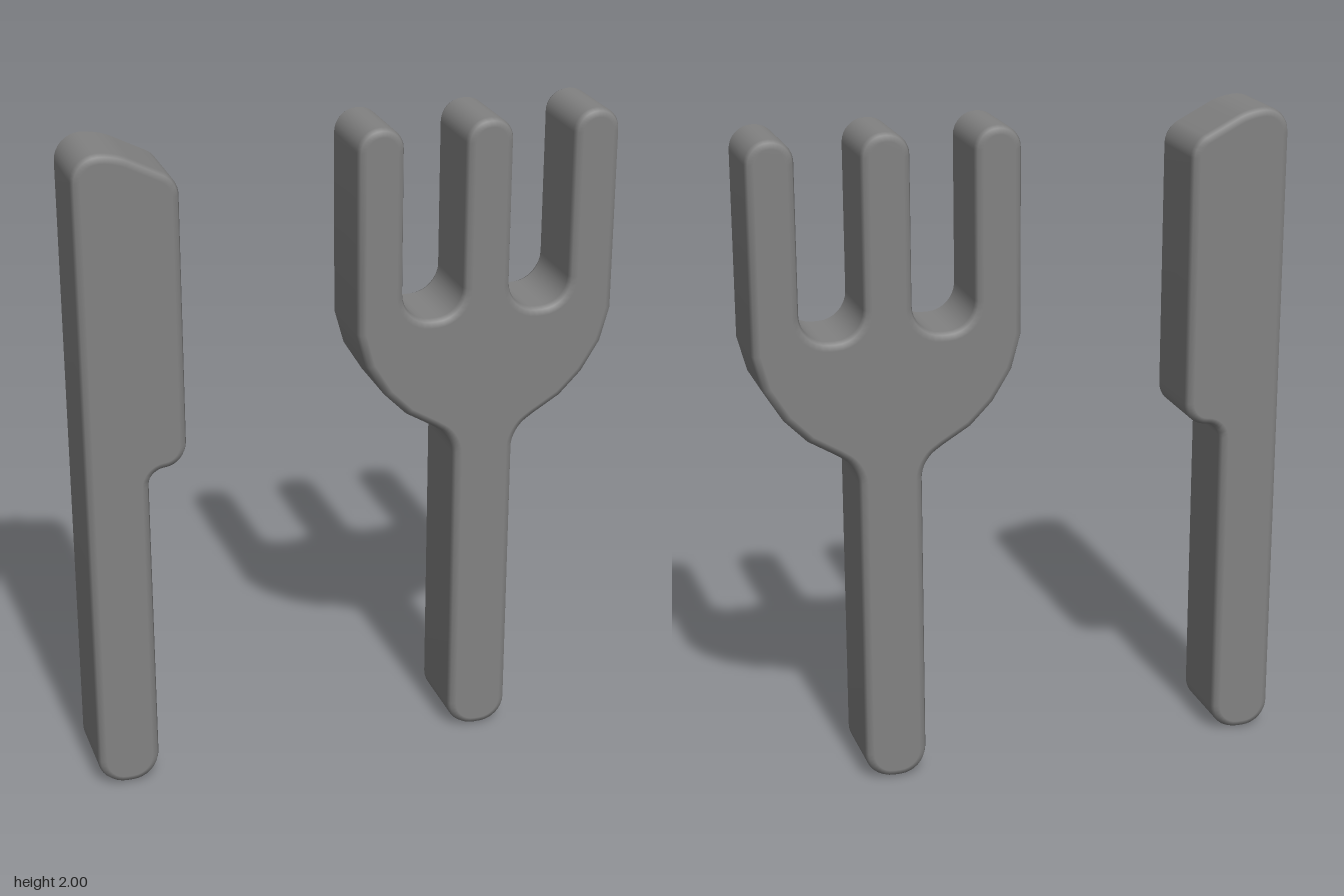
import * as THREE from 'three';
import { toCreasedNormals } from 'three/addons/utils/BufferGeometryUtils.js';

const BEVEL = 0.024;
const DEPTH = 0.26;

// Closed outline from corners [x, y, cut]; each corner is rounded, starting `cut` before it.
function roundedShape(corners) {
  const shape = new THREE.Shape();
  const n = corners.length;
  const P = corners.map(([x, y]) => new THREE.Vector2(x, y));
  const toward = (a, b, d) => a.clone().add(b.clone().sub(a).setLength(d));
  for (let i = 0; i < n; i++) {
    const p = P[i], cut = corners[i][2] || 0;
    const a = cut ? toward(p, P[(i + n - 1) % n], cut) : p;
    if (i === 0) shape.moveTo(a.x, a.y);
    else shape.lineTo(a.x, a.y);
    if (!cut) continue;
    const b = toward(p, P[(i + 1) % n], cut);
    const c1 = a.clone().lerp(p, 0.55), c2 = b.clone().lerp(p, 0.55);
    shape.bezierCurveTo(c1.x, c1.y, c2.x, c2.y, b.x, b.y);
  }
  return shape;
}

// Keep the faces and side walls evenly shaded, so only the softened edge blends between them
function flattenFaces(geometry) {
  const { position, normal } = geometry.attributes;
  const v = new THREE.Vector3();
  for (let i = 0; i < position.count; i++) {
    const z = position.getZ(i), inset = DEPTH / 2 - Math.abs(z);
    v.fromBufferAttribute(normal, i);
    if (inset < 1e-4) v.set(0, 0, Math.sign(z));
    else if (inset > BEVEL - 1e-4) v.setZ(0).normalize();
    normal.setXYZ(i, v.x, v.y, v.z);
  }
  return geometry;
}

// Thick slab with softened edges, kept inside the outline
function slab(name, corners) {
  const geometry = new THREE.ExtrudeGeometry(roundedShape(corners), {
    depth: DEPTH - 2 * BEVEL, curveSegments: 8,
    bevelEnabled: true, bevelThickness: BEVEL, bevelSize: BEVEL, bevelOffset: -BEVEL, bevelSegments: 2,
  });
  geometry.translate(0, 0, -DEPTH / 2 + BEVEL);
  const mesh = new THREE.Mesh(
    flattenFaces(toCreasedNormals(geometry, 0.85)),
    new THREE.MeshStandardMaterial({ color: 0x828282 }),
  );
  mesh.name = name;
  return mesh;
}

export function createModel() {
  const group = new THREE.Group();
  group.name = 'cutlery';

  // Knife: straight spine on the left, stepped blade with a slanted tip
  group.add(slab('knife', [
    [-0.812, 0.005, 0.085], [-0.623, 0.005, 0.085],
    [-0.623, 1.035, 0.045], [-0.508, 1.045, 0.065],
    [-0.508, 1.91, 0.045], [-0.69, 2.003, 0.045], [-0.812, 2, 0.075],
  ]));

  // Fork: right half of the outline around its own axis, from handle end to middle tine
  const half = [
    [0.095, 0.005, 0.085], [0.095, 1.015, 0.05],
    [0.161, 1.06], [0.244, 1.11], [0.313, 1.18], [0.371, 1.274], [0.4, 1.38],
    [0.4, 2, 0.068], [0.26, 2, 0.068],
    [0.26, 1.405, 0.085], [0.072, 1.405, 0.085],
    [0.072, 2, 0.068],
  ];
  const mirrored = half.map(([x, y, c]) => [-x, y, c]).reverse();
  const fork = slab('fork', [...half, ...mirrored]);
  fork.position.x = 0.411;
  group.add(fork);

  return group;
}
